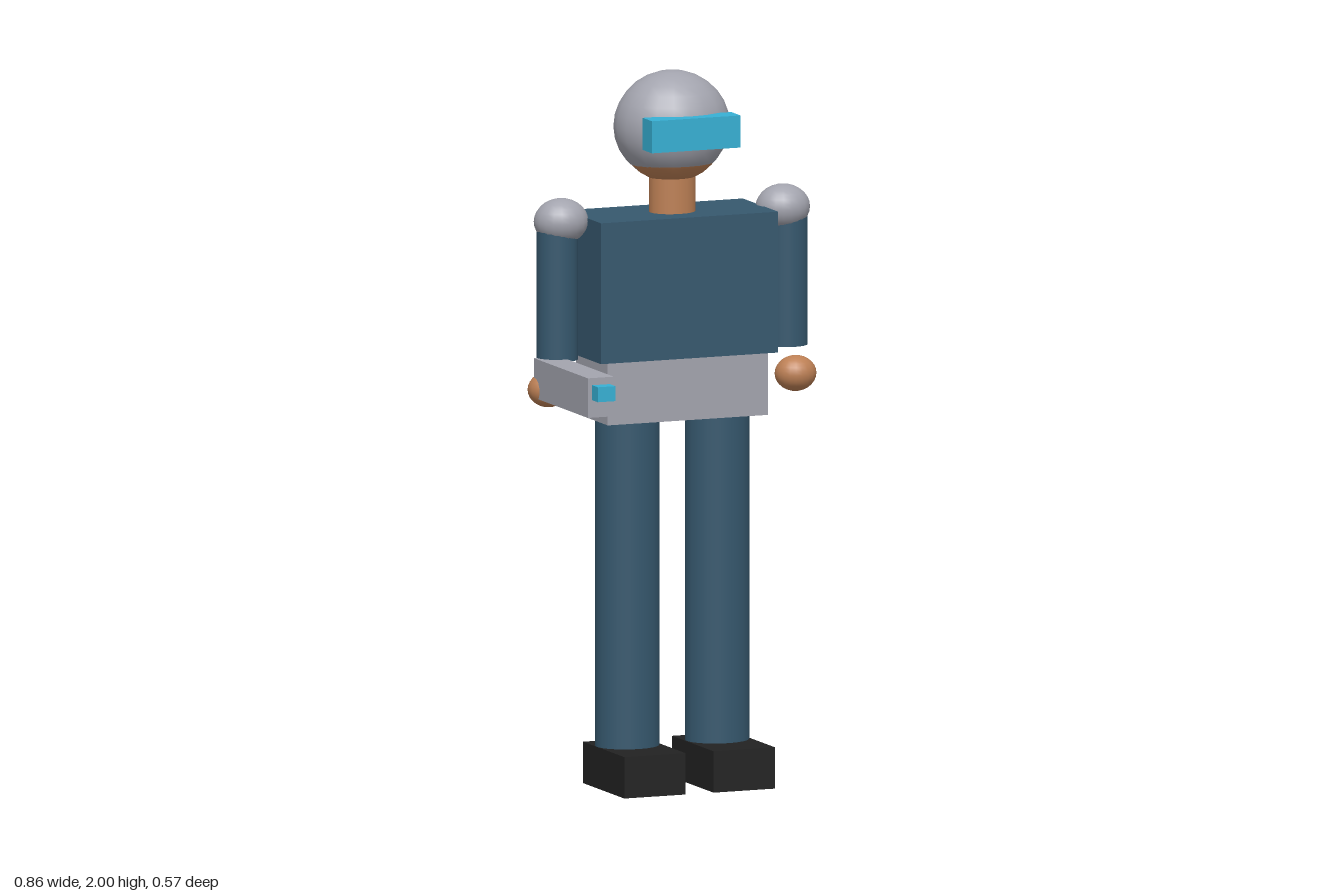
import * as THREE from 'three';

export function createModel() {
  const model = new THREE.Group();
  model.name = 'armouredFigure';

  const material = (name, color) => {
    const m = new THREE.MeshStandardMaterial({ color });
    m.name = name;
    return m;
  };
  const blue = material('suitBlue', 0x36586e);
  const grey = material('armourGrey', 0xa3a4ae);
  const skin = material('skin', 0xbd8055);
  const cyan = material('glowCyan', 0x37b0d4);
  const black = material('bootBlack', 0x222222);

  const add = (name, geometry, mat) => {
    const mesh = new THREE.Mesh(geometry, mat);
    mesh.name = name;
    model.add(mesh);
  };
  // box given by its limits on each axis
  const box = (name, mat, [x0, x1], [y0, y1], [z0, z1]) =>
    add(name, new THREE.BoxGeometry(x1 - x0, y1 - y0, z1 - z0)
      .translate((x0 + x1) / 2, (y0 + y1) / 2, (z0 + z1) / 2), mat);
  // ellipsoid given by centre and radii
  const ball = (name, mat, centre, radii) =>
    add(name, new THREE.SphereGeometry(1, 20, 14).scale(...radii).translate(...centre), mat);
  // upright elliptical column
  const column = (name, mat, x, z, [y0, y1], rx, rz) =>
    add(name, new THREE.CylinderGeometry(1, 1, y1 - y0, 20)
      .scale(rx, 1, rz).translate(x, (y0 + y1) / 2, z), mat);

  // head: the chin shows beneath the helmet
  ball('helmet', grey, [0, 1.846, -0.14], [0.164, 0.154, 0.146]);
  ball('head', skin, [0, 1.82, -0.138], [0.148, 0.132, 0.131]);
  box('visor', cyan, [-0.133, 0.133], [1.8, 1.89], [-0.03, 0.036]);
  column('neck', skin, 0, -0.136, [1.58, 1.73], 0.066, 0.057);

  // trunk
  box('torso', blue, [-0.266, 0.266], [1.21, 1.605], [-0.264, -0.011]);
  box('hips', grey, [-0.241, 0.241], [1.035, 1.212], [-0.25, -0.023]);

  // limbs
  for (const [side, s] of [['left', 1], ['right', -1]]) {
    column(side + 'Leg', blue, s * 0.135, -0.136, [0.1, 1.04], 0.091, 0.08);
    const bootX = [s * 0.042, s * 0.226].sort((a, b) => a - b);
    box(side + 'Boot', black, bootX, [0, 0.116], [-0.236, 0.06]);
    column(side + 'Arm', blue, s * 0.345, -0.136, [1.21, 1.59], 0.058, 0.052);
    ball(side + 'Shoulder', grey, [s * 0.333, 1.597, -0.138], [0.077, 0.064, 0.068]);
    ball(side + 'Hand', skin, [s * 0.371, 1.128, -0.137], [0.059, 0.05, 0.052]);
  }

  // tool held in the right hand
  box('blasterBody', grey, [-0.413, -0.335], [1.106, 1.217], [-0.14, 0.245]);
  box('blasterTip', cyan, [-0.4, -0.347], [1.155, 1.197], [0.22, 0.285]);

  return model;
}
